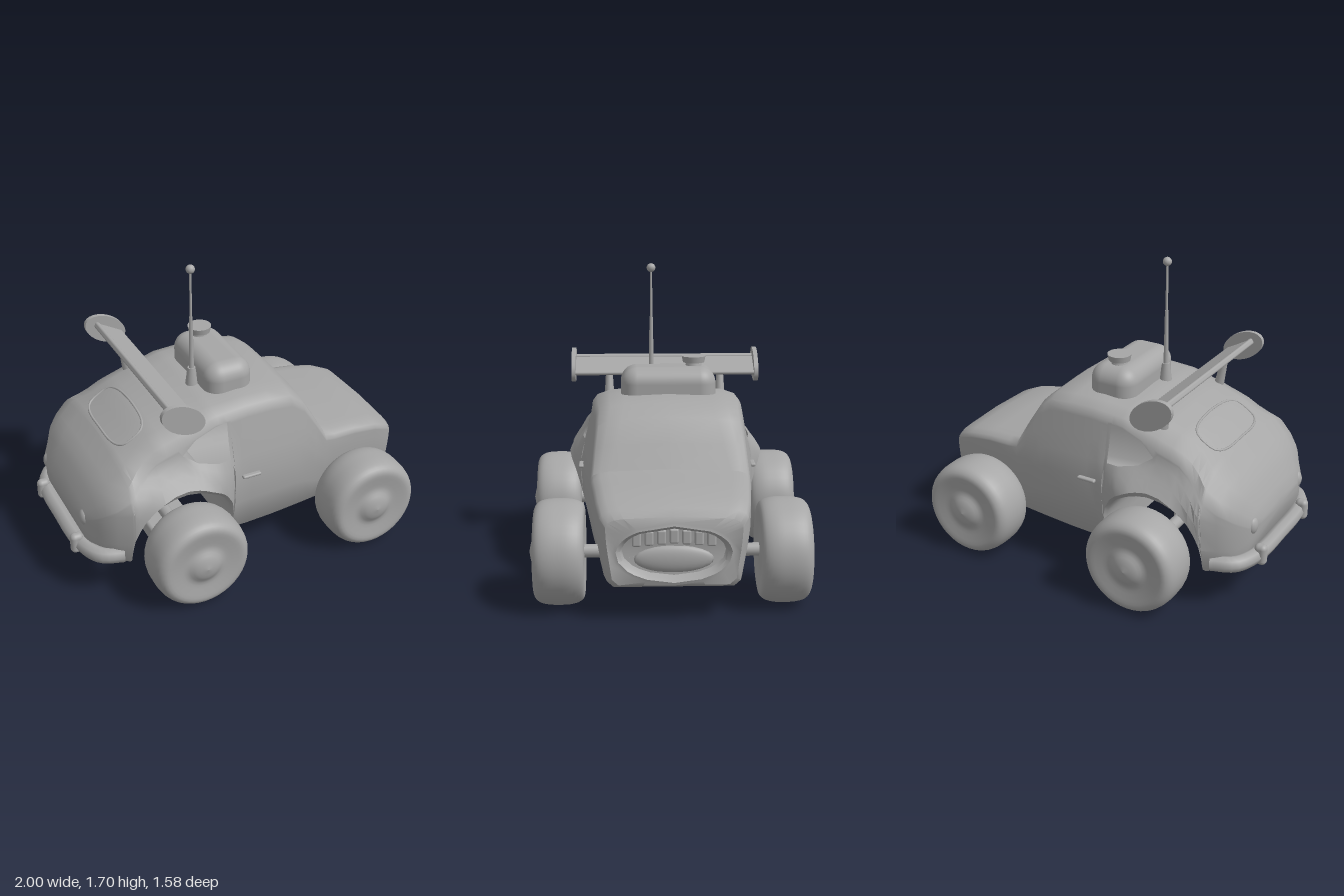
import * as THREE from 'three';
import { toCreasedNormals } from 'three/addons/utils/BufferGeometryUtils.js';
import { RoundedBoxGeometry } from 'three/addons/geometries/RoundedBoxGeometry.js';

const grey = new THREE.MeshStandardMaterial({ color: 0xa6a6a6, side: THREE.DoubleSide });
grey.name = 'plain grey';

const lerp = THREE.MathUtils.lerp, smooth = THREE.MathUtils.smoothstep;

// Linear lookup of column c in a table sorted by its first column
function look(table, x, c = 1) {
  if (x <= table[0][0]) return table[0][c];
  for (let i = 1; i < table.length; i++) {
    const a = table[i - 1], b = table[i];
    if (x <= b[0]) return lerp(a[c], b[c], (x - a[0]) / (b[0] - a[0]));
  }
  return table[table.length - 1][c];
}

// Body stations: x, top height, half width, shoulder height, shoulder inset
const STATIONS = [
  [-0.945, 0.50, 0.24, 0.08, 0.15], [-0.92, 0.56, 0.34, 0.10, 0.20], [-0.85, 0.67, 0.42, 0.12, 0.25],
  [-0.72, 0.79, 0.46, 0.14, 0.28], [-0.55, 0.90, 0.475, 0.14, 0.28], [-0.40, 0.955, 0.48, 0.12, 0.25],
  [-0.20, 0.995, 0.485, 0.08, 0.20], [0, 1.01, 0.48, 0.08, 0.18], [0.15, 1.005, 0.47, 0.08, 0.17],
  [0.28, 0.985, 0.455, 0.07, 0.16], [0.36, 0.92, 0.445, 0.07, 0.14], [0.43, 0.80, 0.435, 0.06, 0.12],
  [0.50, 0.67, 0.425, 0.05, 0.10], [0.56, 0.66, 0.42, 0.05, 0.10], [0.70, 0.65, 0.405, 0.05, 0.10],
  [0.85, 0.625, 0.39, 0.05, 0.10], [0.95, 0.585, 0.37, 0.05, 0.10], [0.985, 0.55, 0.34, 0.05, 0.09],
];
const FLOOR = [[-0.945, 0.40], [-0.91, 0.28], [-0.88, 0.23], [-0.73, 0.21], [-0.1, 0.18], [0.95, 0.18], [0.985, 0.2]];
// Quarter window: x, lower edge, upper edge
const WINDOW = [[-0.40, 0.79, 0.79], [-0.32, 0.735, 0.86], [-0.20, 0.705, 0.905], [-0.13, 0.70, 0.915]];
const ARCH = { x: -0.42, y: 0.29, r: 0.31 };

function floorAt(x) {
  const d = ARCH.r ** 2 - (x - ARCH.x) ** 2;
  return d > -1e-6 ? ARCH.y + Math.sqrt(Math.max(d, 0)) : look(FLOOR, x);
}

// Half width at a point on the side, with rear fender bulge and cabin lean
function halfWidth(x, y) {
  const fender = 0.085 * smooth(x, -0.95, -0.7) * (1 - smooth(x, -0.3, -0.05)) * (1 - smooth(y, 0.58, 0.78));
  const lean = y < 0.5 ? lerp(0.88, 1, smooth(y, 0.1, 0.5)) : 1 - 0.13 * Math.max(0, (y - 0.6) / 0.32);
  return look(STATIONS, x) && look(STATIONS, x, 2) * lean + fender;
}

// One closed section as [y, z] pairs, from the floor over the +z side and round
function section(x) {
  const B = floorAt(x), T = look(STATIONS, x);
  const r = Math.min(look(STATIONS, x, 3), (T - B) * 0.35);
  let hi = Math.min(B + (T - B) * 0.88, T - r - 0.01);
  let lo = Math.min(B + (T - B) * 0.62, hi - 0.01);
  if (x > -0.401 && x < -0.129) {
    lo = look(WINDOW, x, 1);
    hi = Math.min(look(WINDOW, x, 2), T - r - 0.005);
  }
  const side = (y) => [y, halfWidth(x, y)];
  const w = halfWidth(x, T - r), inset = Math.min(look(STATIONS, x, 4), w * 0.65);
  const half = [[B, 0], [B, halfWidth(x, B) * 0.5], [B, halfWidth(x, B) - 0.03], side(B + 0.03),
    side(lerp(B + 0.03, lo, 0.4)), side(lerp(B + 0.03, lo, 0.75)), side(lo), side((lo + hi) / 2), side(hi)];
  for (let i = 0; i < 4; i++) {
    const a = (i * Math.PI) / 6;
    half.push([T - r + (r - 0.01) * Math.sin(a), w - inset * (1 - Math.cos(a))]);
  }
  half.push([T, 0]);
  return half.concat(half.slice(1, -1).reverse().map(([y, z]) => [y, -z]));
}

function bodyGeometry() {
  const xs = STATIONS.map((s) => s[0]).concat(WINDOW.map((s) => s[0]), [-0.88, -0.8, -0.108, -0.06, 0.05, 0.32]);
  for (let i = 0; i <= 14; i++) xs.push(ARCH.x + ARCH.r * Math.cos((i * Math.PI) / 14));
  xs.push(ARCH.x - ARCH.r - 0.004, ARCH.x + ARCH.r + 0.002);
  xs.sort((a, b) => a - b);
  const stations = xs.filter((x, i) => i === 0 || x - xs[i - 1] > 1e-4);
  const rings = stations.map((x) => section(x).map(([y, z]) => [x, y, z]));
  const n = rings[0].length;
  // Closed tail
  rings.unshift(rings[0].map(() => [-0.95, 0.45, 0]));
  // Nose: oval mouth rim, then the recess
  const last = rings[rings.length - 1];
  for (const [x, a, b] of [[0.995, 0.31, 0.16], [1.0, 0.29, 0.145], [0.985, 0.27, 0.13], [0.95, 0.26, 0.12], [0.945, 0, 0]]) {
    rings.push(last.map(([, y, z]) => {
      const t = Math.atan2(z / 0.31, (y - 0.36) / 0.17);
      return [x - 0.02 * Math.sin(t) ** 2, 0.36 + b * Math.cos(t), a * Math.sin(t)];
    }));
  }
  const index = [];
  for (let i = 0; i < rings.length - 1; i++) {
    const mid = (rings[i][0][0] + rings[i + 1][0][0]) / 2;
    const open = mid > -0.4 && mid < -0.13;
    for (let j = 0; j < n; j++) {
      const row = Math.min(j, n - 1 - j);
      if (open && (row === 6 || row === 7)) continue;
      const k = (j + 1) % n, a = i * n + j, b = a + n, c = i * n + k, d = c + n;
      index.push(a, b, c, b, d, c);
    }
  }
  const g = new THREE.BufferGeometry();
  g.setAttribute('position', new THREE.Float32BufferAttribute(rings.flat(2), 3));
  g.setIndex(index);
  return toCreasedNormals(g, 0.75);
}

export function createModel() {
  const model = new THREE.Group();
  model.name = 'car';
  const add = (name, geometry, x = 0, y = 0, z = 0) => {
    const m = new THREE.Mesh(geometry, grey);
    m.name = name;
    m.position.set(x, y, z);
    model.add(m);
    return m;
  };
  const cyl = (top, bottom, h, sides = 16) => new THREE.CylinderGeometry(top, bottom, h, sides);
  const tube = (points, r, closed = false) => new THREE.TubeGeometry(
    new THREE.CatmullRomCurve3(points.map((p) => new THREE.Vector3(...p)), closed), 40, r, 8, closed);

  add('body', bodyGeometry());

  // Wheels with dished faces and a hub bump, plus axles
  const profile = [[0, -0.13], [0.12, -0.12], [0.22, -0.13], [0.255, -0.11], [0.272, -0.06], [0.275, 0],
    [0.272, 0.06], [0.258, 0.105], [0.225, 0.13], [0.17, 0.125], [0.11, 0.12], [0.06, 0.145], [0, 0.158]]
    .map(([r, y]) => new THREE.Vector2(r, y));
  const wheel = new THREE.LatheGeometry(new THREE.SplineCurve(profile).getPoints(36)
    .map((p) => new THREE.Vector2(Math.max(p.x, 0), p.y)), 40);
  for (const [end, x, z] of [['front', 0.67, 0.58], ['rear', -0.415, 0.63]]) {
    for (const s of [1, -1]) add(`${end}Wheel`, wheel, x, 0.28, s * z).rotation.x = (s * Math.PI) / 2;
    add(`${end}Axle`, cyl(0.035, 0.035, 2 * z - 0.2), x, 0.28, 0).rotation.x = Math.PI / 2;
  }
  add('exhaustBox', new RoundedBoxGeometry(0.26, 0.1, 0.4, 2, 0.02), -0.4, 0.18, 0.23);

  // Roof pod with filler cap
  add('roofPod', new RoundedBoxGeometry(0.28, 0.24, 0.53, 5, 0.09), -0.015, 1.025, -0.005);
  add('capNeck', cyl(0.04, 0.05, 0.05), -0.02, 1.15, -0.15);
  add('cap', new RoundedBoxGeometry(0.01, 0.01, 0.01, 1, 0.002), -0.02, 1.17, -0.15);
  add('capLid', cyl(0.067, 0.06, 0.035, 20), -0.02, 1.18, -0.15);

  // Antenna
  add('antennaBase', cyl(0.022, 0.035, 0.1), -0.18, 1.04, 0.085);
  add('antennaLower', cyl(0.01, 0.015, 0.36, 10), -0.18, 1.22, 0.085);
  add('antennaUpper', cyl(0.006, 0.008, 0.28, 8), -0.18, 1.53, 0.085);
  add('antennaTip', new THREE.SphereGeometry(0.025, 12, 10), -0.18, 1.68, 0.085);

  // Rear wing: tilted blade, oval end plates and struts
  const tilt = -0.5;
  add('wingBlade', new RoundedBoxGeometry(0.18, 0.025, 1.08, 2, 0.012), -0.42, 1.085, 0).rotation.z = tilt;
  add('wingRidge', new RoundedBoxGeometry(0.03, 0.035, 1.08, 2, 0.012), -0.49, 1.125, 0).rotation.z = tilt;
  for (const s of [1, -1]) {
    const plate = add('wingEndPlate', cyl(1, 1, 0.025, 28), -0.44, 1.088, s * 0.54);
    plate.rotation.set(Math.PI / 2, 0, tilt, 'ZXY');
    plate.scale.set(0.132, 1, 0.078);
    add('wingStrut', cyl(0.018, 0.028, 0.16, 10), -0.41, 1.0, s * 0.33).rotation.z = 0.2;
  }

  // Rear bumper with overriders and tail lamps
  add('rearBumper', tube([[-0.76, 0.28, 0.47], [-0.88, 0.28, 0.42], [-0.94, 0.28, 0.27], [-0.95, 0.28, 0],
    [-0.94, 0.28, -0.27], [-0.88, 0.28, -0.42], [-0.76, 0.28, -0.47]], 0.045));
  for (const s of [1, -1]) {
    add('overrider', new RoundedBoxGeometry(0.07, 0.12, 0.055, 3, 0.025), -0.965, 0.29, s * 0.275);
    const lamp = add('tailLamp', new THREE.SphereGeometry(0.05, 14, 10), -0.915, 0.46, s * 0.29);
    lamp.scale.set(0.6, 1, 0.8);
    const y = 0.577;
    add('doorHandle', new RoundedBoxGeometry(0.11, 0.018, 0.03, 2, 0.008), -0.01, y, s * (halfWidth(-0.01, y) + 0.008));
  }

  // Rear window outline lying on the sloped back
  const outline = [];
  for (let i = 0; i < 20; i++) {
    const a = (i * Math.PI) / 10, sq = (v) => Math.sign(v) * Math.abs(v) ** 0.6;
    const x = -0.605 + 0.095 * sq(Math.cos(a)), z = 0.25 * sq(Math.sin(a));
    const flat = halfWidth(x, look(STATIONS, x) - 0.14) - 0.28;
    outline.push([x, look(STATIONS, x) - 0.01 * Math.min(1, Math.abs(z) / flat) - 0.12 * Math.max(0, Math.abs(z) - flat), z]);
  }
  add('rearWindowFrame', tube(outline, 0.007, true));

  // Mouth grille: upper teeth and a rounded lower lip
  for (let i = 0; i < 7; i++) {
    const z = (i - 3) * 0.062;
    add('tooth', new RoundedBoxGeometry(0.03, 0.075, 0.045, 2, 0.01), 0.96, 0.445 - Math.abs(z) * 0.08, z);
  }
  add('mouthFloor', new THREE.SphereGeometry(1, 20, 12), 0.94, 0.32, 0).scale.set(0.03, 0.07, 0.2);

  model.remove(model.getObjectByName('cap'));
  return model;
}
